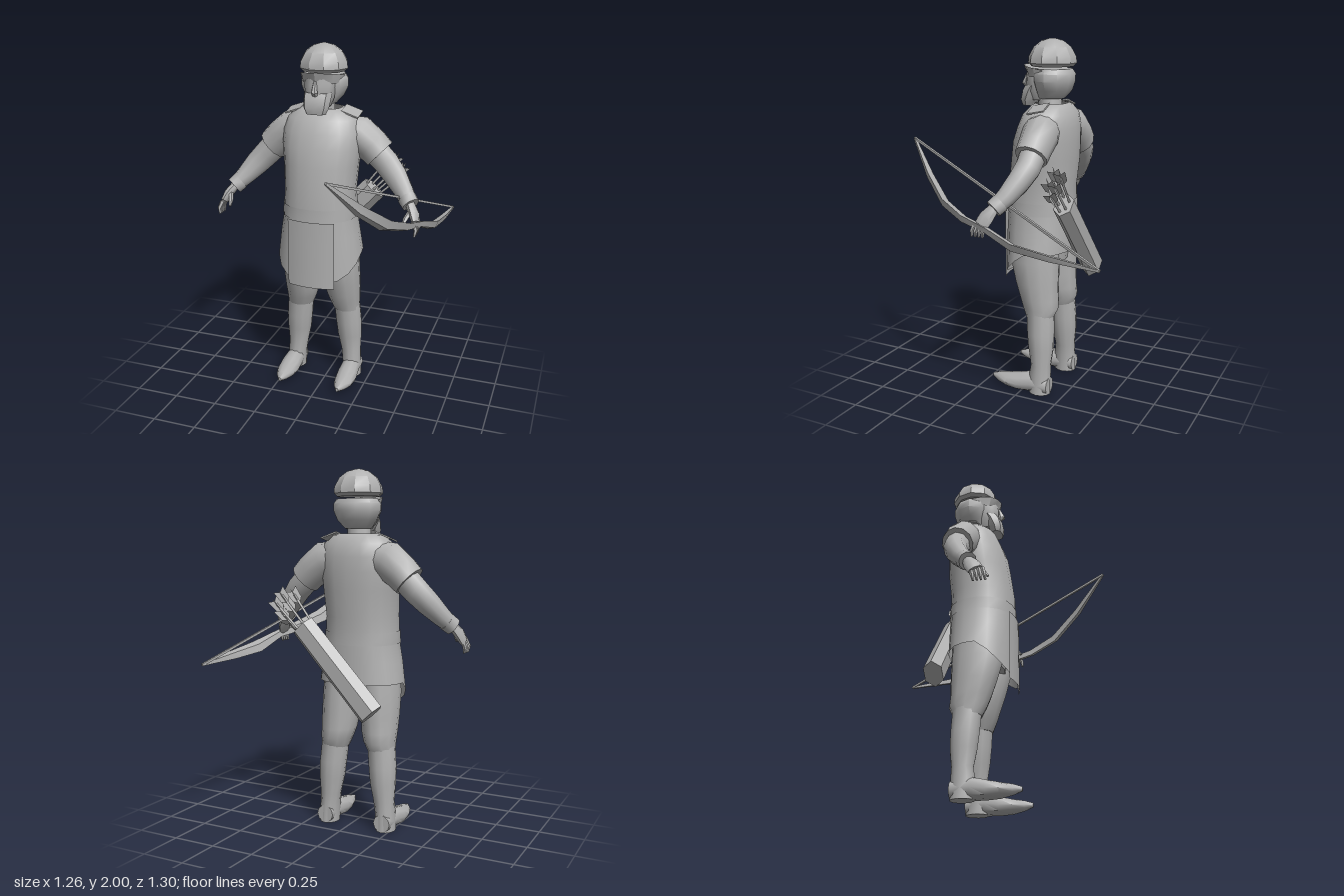
import * as THREE from 'three';
import { toCreasedNormals } from 'three/addons/utils/BufferGeometryUtils.js';

const grey = new THREE.MeshStandardMaterial({ color: 0xb0b0b0, side: THREE.DoubleSide });
grey.name = 'plain grey';
const Y = new THREE.Vector3(0, 1, 0), Z = new THREE.Vector3(0, 0, 1);

function part(name, geometry, parent) {
  const mesh = new THREE.Mesh(geometry, grey);
  mesh.name = name;
  parent.add(mesh);
  return mesh;
}

// Skin over rings [x, y, z, a, b]; b is measured along ref, a across it.
function loft(rings, { n = 10, ref = Z, axis = null, p = 1, caps = true, crease = 0.8, rule = null } = {}) {
  const pos = [], idx = [];
  const c = rings.map(r => new THREE.Vector3(r[0], r[1], r[2]));
  const last = rings.length - 1;
  const pow = v => Math.sign(v) * Math.abs(v) ** p;
  rings.forEach((r, i) => {
    const t = axis ? axis.clone() : c[Math.min(i + 1, last)].clone().sub(c[Math.max(i - 1, 0)]).normalize();
    const u = t.clone().cross(ref).normalize(), v = u.clone().cross(t);
    for (let j = 0; j < n; j++) {
      const w = j / n * Math.PI * 2;
      const q = c[i].clone().addScaledVector(u, pow(Math.cos(w)) * r[3]).addScaledVector(v, pow(Math.sin(w)) * r[4]);
      if (rule) rule(q, i);
      pos.push(q.x, q.y, q.z);
    }
  });
  for (let i = 0; i < last; i++) for (let j = 0; j < n; j++) {
    const A = i * n + j, B = i * n + (j + 1) % n;
    idx.push(A, A + n, B, B, A + n, B + n);
  }
  if (caps) {
    const k = pos.length / 3;
    pos.push(...c[0].toArray(), ...c[last].toArray());
    for (let j = 0; j < n; j++) {
      const j2 = (j + 1) % n;
      idx.push(k, j, j2, k + 1, last * n + j2, last * n + j);
    }
  }
  const g = new THREE.BufferGeometry();
  g.setAttribute('position', new THREE.Float32BufferAttribute(pos, 3));
  g.setIndex(idx);
  return toCreasedNormals(g, crease);
}

// Upright skin from rows [y, z, rx, rz]
const upright = (rows, opts = {}) => loft(rows.map(([y, z, rx, rz]) => [0, y, z, rx, rz]), { axis: Y, ...opts });
const mirror = (rings, s) => rings.map(([x, ...rest]) => [x * s, ...rest]);

function addTunic(body) {
  // Hem falls to a point at the front
  const hem = (q, i) => { if (i === 0) q.y = 0.835 - Math.max(0, q.z + 0.02) * 0.95; };
  part('tunic', upright([
    [0.83, -0.037, 0.248, 0.187], [0.95, -0.037, 0.228, 0.186], [1.05, -0.037, 0.21, 0.184],
    [1.2, -0.037, 0.203, 0.182], [1.35, -0.055, 0.213, 0.18], [1.45, -0.063, 0.225, 0.172],
    [1.53, -0.077, 0.222, 0.157], [1.6, -0.085, 0.2, 0.135], [1.645, -0.09, 0.145, 0.1], [1.655, -0.09, 0.105, 0.085],
  ], { n: 20, p: 0.88, caps: false, rule: hem }), body);
  part('belt', upright([[1.05, -0.037, 0.214, 0.188], [1.12, -0.037, 0.211, 0.187]], { n: 20, p: 0.88, caps: false }), body);
  // Front apron bent around the belly
  const apron = new THREE.PlaneGeometry(0.275, 0.395, 8, 3);
  const a = apron.attributes.position;
  for (let i = 0; i < a.count; i++) a.setZ(i, 0.19 * Math.sqrt(1 - (a.getX(i) / 0.25) ** 2) ** 0.8 - 0.03);
  apron.translate(0, 0.853, 0);
  apron.computeVertexNormals();
  part('apron', apron, body);
  part('innerSkirt', upright([[0.76, -0.045, 0.2, 0.13], [0.9, -0.04, 0.2, 0.15]], { n: 12 }), body);
}

function addArm(body, s) {
  const arm = new THREE.Group();
  arm.name = s > 0 ? 'leftArm' : 'rightArm';
  body.add(arm);
  part('sleeve', loft(mirror([
    [0.1, 1.525, -0.1, 0.09, 0.09], [0.2, 1.505, -0.115, 0.108, 0.1],
    [0.27, 1.45, -0.12, 0.1, 0.092], [0.32, 1.402, -0.12, 0.094, 0.088],
  ], s), { n: 12 }), arm);
  part('forearm', loft(mirror([
    [0.27, 1.44, -0.12, 0.078, 0.072], [0.36, 1.35, -0.12, 0.075, 0.068], [0.42, 1.285, -0.095, 0.069, 0.06],
    [0.48, 1.215, -0.055, 0.055, 0.052], [0.525, 1.165, -0.015, 0.044, 0.044],
  ], s)), arm);
  part('cuff', loft(mirror([[0.5, 1.19, -0.035, 0.053, 0.052], [0.53, 1.16, -0.01, 0.05, 0.05]], s)), arm);
  part('palm', loft(mirror([
    [0.525, 1.165, -0.012, 0.026, 0.03], [0.555, 1.12, 0.018, 0.028, 0.045], [0.572, 1.08, 0.04, 0.02, 0.042],
  ], s), { n: 8 }), arm);
  for (let k = 0; k < 4; k++) {
    const z = 0.012 + k * 0.021;
    part('finger', loft(mirror([
      [0.568, 1.09, z, 0.013, 0.011], [0.584, 1.05, z + 0.012, 0.012, 0.011], [0.578, 1.015, z + 0.018, 0.006, 0.006],
    ], s), { n: 5 }), arm);
  }
  part('thumb', loft(mirror([
    [0.54, 1.14, 0.02, 0.014, 0.014], [0.52, 1.1, 0.065, 0.014, 0.014], [0.512, 1.07, 0.095, 0.007, 0.007],
  ], s), { n: 5 }), arm);
  const strap = part('shoulderFlap', new THREE.BoxGeometry(0.1, 0.008, 0.1), arm);
  strap.position.set(s * 0.165, 1.637, -0.085);
  strap.rotation.set(0.2, 0, -s * 0.35);
}

function addLeg(body, s) {
  const leg = new THREE.Group();
  leg.name = s > 0 ? 'leftLeg' : 'rightLeg';
  body.add(leg);
  part('trouserLeg', loft(mirror([
    [0.11, 0.9, -0.045, 0.1, 0.145], [0.118, 0.78, -0.045, 0.108, 0.146], [0.125, 0.65, -0.063, 0.104, 0.128],
    [0.128, 0.56, -0.078, 0.1, 0.112], [0.135, 0.505, -0.09, 0.09, 0.104], [0.145, 0.45, -0.09, 0.078, 0.078],
  ], s), { axis: Y.clone().negate(), n: 12 }), leg);
  part('bootShaft', loft(mirror([
    [0.145, 0.49, -0.092, 0.078, 0.08], [0.157, 0.36, -0.1, 0.078, 0.078], [0.162, 0.27, -0.105, 0.073, 0.073],
    [0.17, 0.17, -0.108, 0.06, 0.058], [0.177, 0.09, -0.103, 0.056, 0.066], [0.18, 0.0, -0.105, 0.056, 0.065],
  ], s), { axis: Y.clone().negate(), n: 12 }), leg);
  part('foot', loft(mirror([
    [0.18, 0.05, -0.165, 0.05, 0.05], [0.18, 0.056, -0.06, 0.056, 0.062], [0.183, 0.045, 0.02, 0.062, 0.053],
    [0.184, 0.042, 0.09, 0.056, 0.04], [0.182, 0.044, 0.155, 0.035, 0.027], [0.179, 0.045, 0.2, 0.008, 0.012],
  ], s), { axis: Z, ref: Y, rule: q => { q.y = Math.max(0, q.y); } }), leg);
}

function addHead(body) {
  const head = new THREE.Group();
  head.name = 'head';
  body.add(head);
  part('neck', upright([[1.57, -0.085, 0.08, 0.075], [1.64, -0.078, 0.068, 0.065], [1.74, -0.07, 0.07, 0.065]]), head);
  part('face', upright([
    [1.67, -0.03, 0.06, 0.07], [1.72, -0.025, 0.083, 0.085], [1.79, -0.025, 0.088, 0.085], [1.835, -0.03, 0.085, 0.085],
  ]), head);
  part('beard', upright([
    [1.637, 0.045, 0.056, 0.032], [1.67, 0.04, 0.073, 0.045], [1.72, 0.02, 0.078, 0.055], [1.75, 0.0, 0.08, 0.06],
  ], { n: 8, p: 0.8 }), head);
  part('nose', upright([
    [1.735, 0.06, 0.014, 0.012], [1.755, 0.068, 0.018, 0.027], [1.815, 0.055, 0.008, 0.01],
  ], { n: 6, crease: 0.4 }), head);
  part('hair', upright([
    [1.68, -0.085, 0.075, 0.075], [1.725, -0.1, 0.115, 0.1], [1.775, -0.102, 0.138, 0.113],
    [1.815, -0.102, 0.137, 0.114], [1.84, -0.1, 0.12, 0.1],
  ]), head);
  part('cap', upright([
    [1.852, -0.09, 0.118, 0.116], [1.87, -0.09, 0.137, 0.133], [1.905, -0.09, 0.133, 0.13],
    [1.955, -0.09, 0.105, 0.102], [1.988, -0.09, 0.06, 0.06], [2.0, -0.09, 0.015, 0.015],
  ], { n: 10, crease: 0.5 }), head);
  // Jagged brow band, a strip swept from ear to ear
  const pos = [], idx = [];
  for (let i = 0; i <= 8; i++) {
    const w = (i / 8 - 0.5) * 3.3, f = Math.cos(w), tooth = i % 2 ? 0 : 0.016;
    pos.push(Math.sin(w) * 0.122, 1.838 + f * 0.022, -0.075 + f * 0.147);
    pos.push(Math.sin(w) * 0.112, 1.78 + f * 0.05 - tooth, -0.085 + f * 0.142);
    if (i < 8) idx.push(2 * i, 2 * i + 1, 2 * i + 2, 2 * i + 2, 2 * i + 1, 2 * i + 3);
  }
  const brow = new THREE.BufferGeometry();
  brow.setAttribute('position', new THREE.Float32BufferAttribute(pos, 3));
  brow.setIndex(idx);
  part('browBand', toCreasedNormals(brow, 0.3), head);
}

function addBow(root) {
  const bow = new THREE.Group();
  bow.name = 'bow';
  root.add(bow);
  const tipA = [0.227, 1.445, 0.645], tipB = [0.617, 0.957, -0.648];
  const wide = new THREE.Vector3(0.73, 0.68, 0).normalize();
  part('bowLimbs', loft([
    [...tipA, 0.008, 0.008], [0.345, 1.265, 0.47, 0.02, 0.036], [0.44, 1.145, 0.315, 0.022, 0.044],
    [0.51, 1.092, 0.16, 0.02, 0.036], [0.55, 1.06, 0, 0.018, 0.026], [0.59, 1.0, -0.17, 0.02, 0.04],
    [0.607, 0.978, -0.38, 0.018, 0.03], [...tipB, 0.008, 0.008],
  ], { n: 4, ref: wide, crease: 0.4 }), bow);
  part('bowString', loft([[...tipA, 0.009, 0.009], [...tipB, 0.009, 0.009]], { n: 4, ref: wide }), bow);
}

function addQuiver(root) {
  const quiver = new THREE.Group();
  quiver.name = 'quiver';
  root.add(quiver);
  part('quiverCase', loft([[-0.21, 0.695, -0.276, 0.078, 0.058], [0.21, 1.15, -0.276, 0.074, 0.056]], { n: 6, crease: 0.4 }), quiver);
  // Arrows fan out of the mouth, each with crossed fletching
  const fan = [[-0.045, -0.26, 0.2], [-0.02, -0.3, 0.23], [0.005, -0.25, 0.19], [0.025, -0.295, 0.22], [0.045, -0.27, 0.17]];
  for (const [o, z, len] of fan) {
    const arrow = new THREE.Group();
    arrow.name = 'arrow';
    arrow.position.set(0.19 + o * 0.74, 1.13 - o * 0.67, z);
    arrow.rotation.set((z + 0.276) * 2, 0, -0.74 - o * 2);
    part('shaft', new THREE.CylinderGeometry(0.007, 0.007, len, 5).translate(0, len / 2, 0), arrow);
    for (const turn of [0.4, 1.97]) {
      const fin = new THREE.Shape([[0, 0], [0.028, 0.03], [0.032, 0.1], [0, 0.08], [-0.032, 0.1], [-0.028, 0.03]].map(q => new THREE.Vector2(...q)));
      part('fletching', new THREE.ShapeGeometry(fin).translate(0, len - 0.06, 0).rotateY(turn), arrow);
    }
    quiver.add(arrow);
  }
}

export function createModel() {
  const root = new THREE.Group();
  root.name = 'archer';
  const body = new THREE.Group();
  body.name = 'figure';
  body.position.x = -0.037;
  root.add(body);
  addTunic(body);
  for (const s of [1, -1]) { addArm(body, s); addLeg(body, s); }
  addHead(body);
  addBow(root);
  addQuiver(root);
  return root;
}
